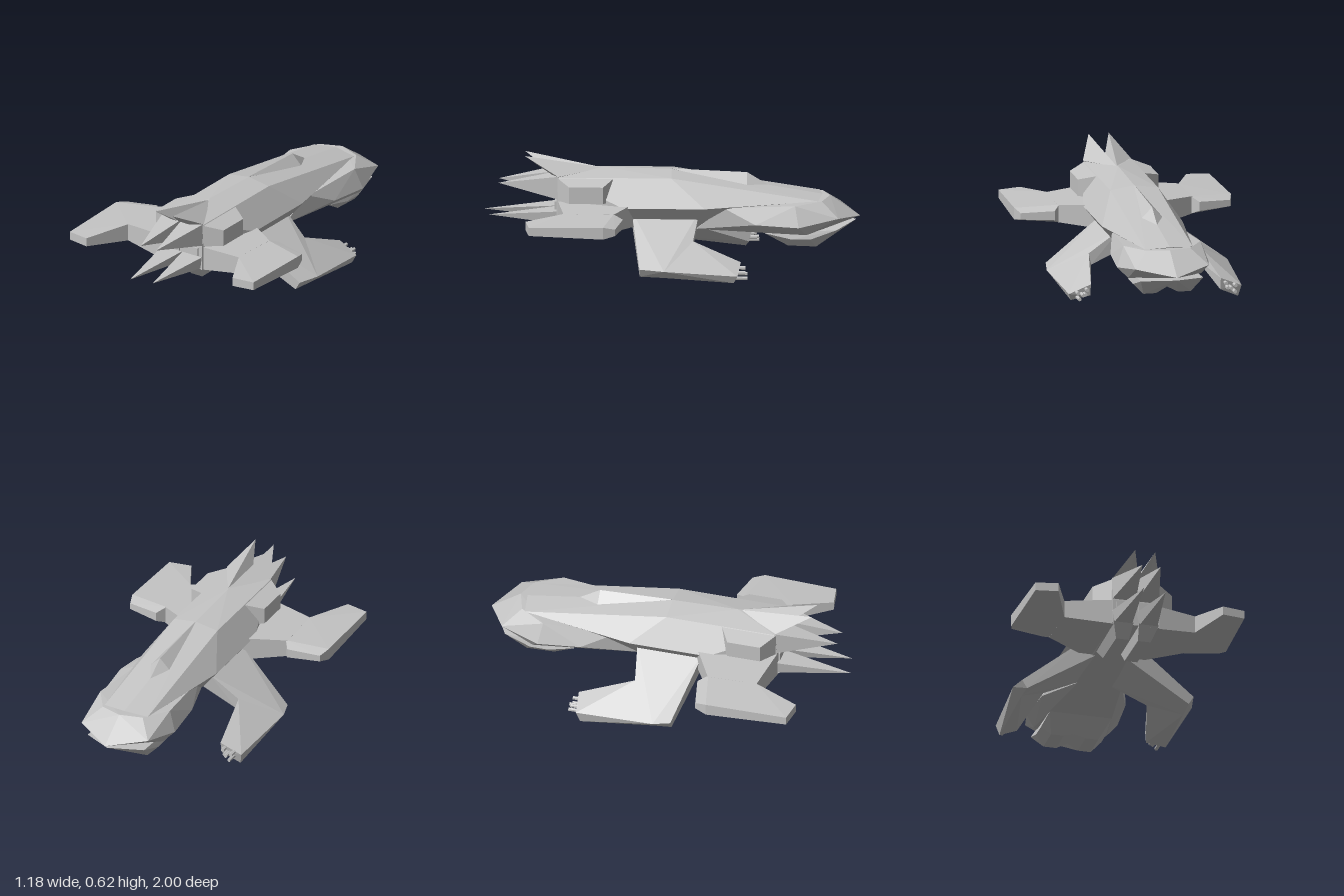
import * as THREE from 'three';
import { ConvexGeometry } from 'three/addons/geometries/ConvexGeometry.js';

export function createModel() {
  const ship = new THREE.Group();
  ship.name = 'spacecraft';
  const grey = new THREE.MeshStandardMaterial({ color: 0xc4c4c4, flatShading: true });
  grey.name = 'hull grey';

  // One faceted solid spanning the given corner points
  function solid(name, points, side = 1, centre = 0) {
    const pts = points.map(([x, y, z]) => new THREE.Vector3(centre + side * x, y, z));
    const mesh = new THREE.Mesh(new ConvexGeometry(pts), grey);
    mesh.name = name;
    ship.add(mesh);
  }
  // Add the mirrored twin of every off-centre point
  const both = (pts) => pts.flatMap(([x, y, z]) => (x ? [[x, y, z], [-x, y, z]] : [[x, y, z]]));
  const C = 0.022; // hull centre line

  // Main hull: rear and tapering forward section
  solid('rearHull', both([
    [0, 0.545, 0], [0, 0.555, 0.36], [0, 0.535, 0.6], [0.13, 0.525, 0], [0.13, 0.525, 0.6],
    [0.22, 0.38, 0], [0.22, 0.38, 0.25], [0.13, 0.4, 0.61], [0.13, 0.265, 0.61], [0.12, 0.25, 0],
  ]), 1, C);
  solid('forwardHull', both([
    [0, 0.545, 0], [0, 0.415, -0.8], [0.13, 0.525, 0], [0.13, 0.405, -0.78], [0.22, 0.38, 0],
    [0.22, 0.38, -0.18], [0.12, 0.25, 0], [0.12, 0.25, -0.13], [0.14, 0.385, -0.6],
  ]), 1, C);

  // Raised diamond on the back
  solid('canopy', both([
    [0, 0.45, -0.53], [0, 0.53, -0.4], [0, 0.547, 0], [0.065, 0.465, -0.4], [0, 0.44, -0.3],
  ]), 1, C);

  // Broad head with a pointed nose
  solid('head', both([
    [0, 0.3, -1], [0, 0.41, -0.84], [0.12, 0.405, -0.8], [0.2, 0.33, -0.89], [0.21, 0.4, -0.66],
    [0.25, 0.29, -0.68], [0.23, 0.3, -0.45], [0.18, 0.38, -0.28], [0.12, 0.25, -0.13],
    [0.12, 0.24, -0.52], [0.2, 0.24, -0.72],
  ]), 1, 0.032);

  for (const s of [-1, 1]) {
    const tag = s > 0 ? 'left' : 'right';

    // Jaw lobe under the head
    solid(tag + 'Jaw', [
      [0.06, 0.16, -0.77], [0.13, 0.16, -0.77], [0.06, 0.165, -0.62], [0.13, 0.165, -0.62],
      [0, 0.19, -0.76], [0, 0.19, -0.64], [0.18, 0.21, -0.74], [0.18, 0.21, -0.64],
      [0, 0.28, -0.98], [0.17, 0.26, -0.88], [0, 0.24, -0.5], [0.17, 0.24, -0.5],
    ], s, 0.03);

    // Shoulder pod above the wing
    const pod = [];
    for (const z of [0.3, 0.61]) pod.push([0.12, 0.525, z], [0.12, 0.4, z]);
    for (const z of [0.36, 0.54]) pod.push([0.22, 0.495, z], [0.22, 0.405, z]);
    solid(tag + 'ShoulderPod', pod, s, C);

    // Block under the belly
    const block = [];
    for (const z of [0.24, 0.62]) block.push([0.015, 0.275, z], [0.125, 0.275, z]);
    for (const z of [0.3, 0.56]) block.push([0.025, 0.2, z], [0.095, 0.2, z]);
    solid(tag + 'BellyBlock', block, s, C);

    // Three rows of tail spikes
    solid(tag + 'UpperSpike', [
      [0, 0.55, 0.36], [0.13, 0.53, 0.6], [0.005, 0.54, 0.66], [0.06, 0.5, 0.6], [0.055, 0.625, 0.78],
    ], s, C + 0.004);
    solid(tag + 'MiddleSpike', [
      [0, 0.53, 0.6], [0.13, 0.53, 0.6], [0, 0.405, 0.6], [0.13, 0.405, 0.6], [0.05, 0.475, 0.92],
    ], s, C);
    solid(tag + 'LowerSpike', [
      [0, 0.34, 0.6], [0.13, 0.34, 0.6], [0.02, 0.27, 0.6], [0.12, 0.27, 0.6],
      [0.063, 0.305, s > 0 ? 0.97 : 1],
    ], s, C);
    const engine = new THREE.Mesh(new THREE.BoxGeometry(0.095, 0.045, 0.04), grey);
    engine.name = tag + 'Engine';
    engine.position.set(C + s * 0.06, 0.367, 0.6);
    ship.add(engine);

    // Wing: root slab, outer pod with a chamfered front
    solid(tag + 'WingRoot', [
      [0.1, 0.4, 0.15], [0.1, 0.4, 0.61], [0.37, 0.38, 0.3], [0.36, 0.38, 0.567],
      [0.1, 0.26, 0.15], [0.1, 0.26, 0.61], [0.37, 0.285, 0.3], [0.36, 0.285, 0.567],
    ], s);
    const end = s > 0 ? 0.765 : 0.81;
    solid(tag + 'WingTip', [
      [0.36, 0.38, 0.3], [0.36, 0.38, 0.567], [0.36, 0.285, 0.3], [0.36, 0.285, 0.567],
      [0.395, 0.36, 0.25], [0.395, 0.31, 0.25], [0.572, 0.35, 0.287], [0.572, 0.315, 0.287],
      [0.592, 0.365, 0.35], [0.592, 0.3, 0.35], [0.582, 0.36, end - 0.02], [0.582, 0.315, end - 0.02],
      [0.46, 0.362, end], [0.46, 0.315, end],
    ], s);

    // Arm: sloping upper part, forearm reaching toward the nose
    const d = s > 0 ? 0.04 : 0;
    const elbow = [
      [0.3, 0.22, -0.12], [0.493, 0.1, 0.03], [0.285, 0.155, -0.115], [0.445, 0.055, 0.03],
    ];
    solid(tag + 'UpperArm', [
      ...elbow, [0.14, 0.345, -0.15], [0.14, 0.345, 0.21], [0.08, 0.26, -0.14], [0.08, 0.26, 0.21],
      [0.467, 0.105, 0.12 + d], [0.44, 0.06, 0.12 + d],
    ], s);
    solid(tag + 'Forearm', [
      ...elbow, [0.35, 0.12, -0.415 + d], [0.467, 0.07, -0.4 + d],
      [0.35, 0.055, -0.4 + d], [0.452, 0.007 + d * 0.6, -0.38 + d],
    ], s);

    // Cluster of short barrels at the hand
    [[0.375, 0.095], [0.4, 0.07], [0.425, 0.08], [0.42, 0.05], [0.385, 0.07]].forEach(([x, y], i) => {
      const barrel = new THREE.Mesh(new THREE.CylinderGeometry(0.01, 0.01, 0.07, 6), grey);
      barrel.name = tag + 'Barrel' + (i + 1);
      barrel.rotation.x = Math.PI / 2;
      barrel.position.set(s * x, y, -0.405 + d - (i % 2) * 0.012);
      ship.add(barrel);
    });
  }
  return ship;
}
